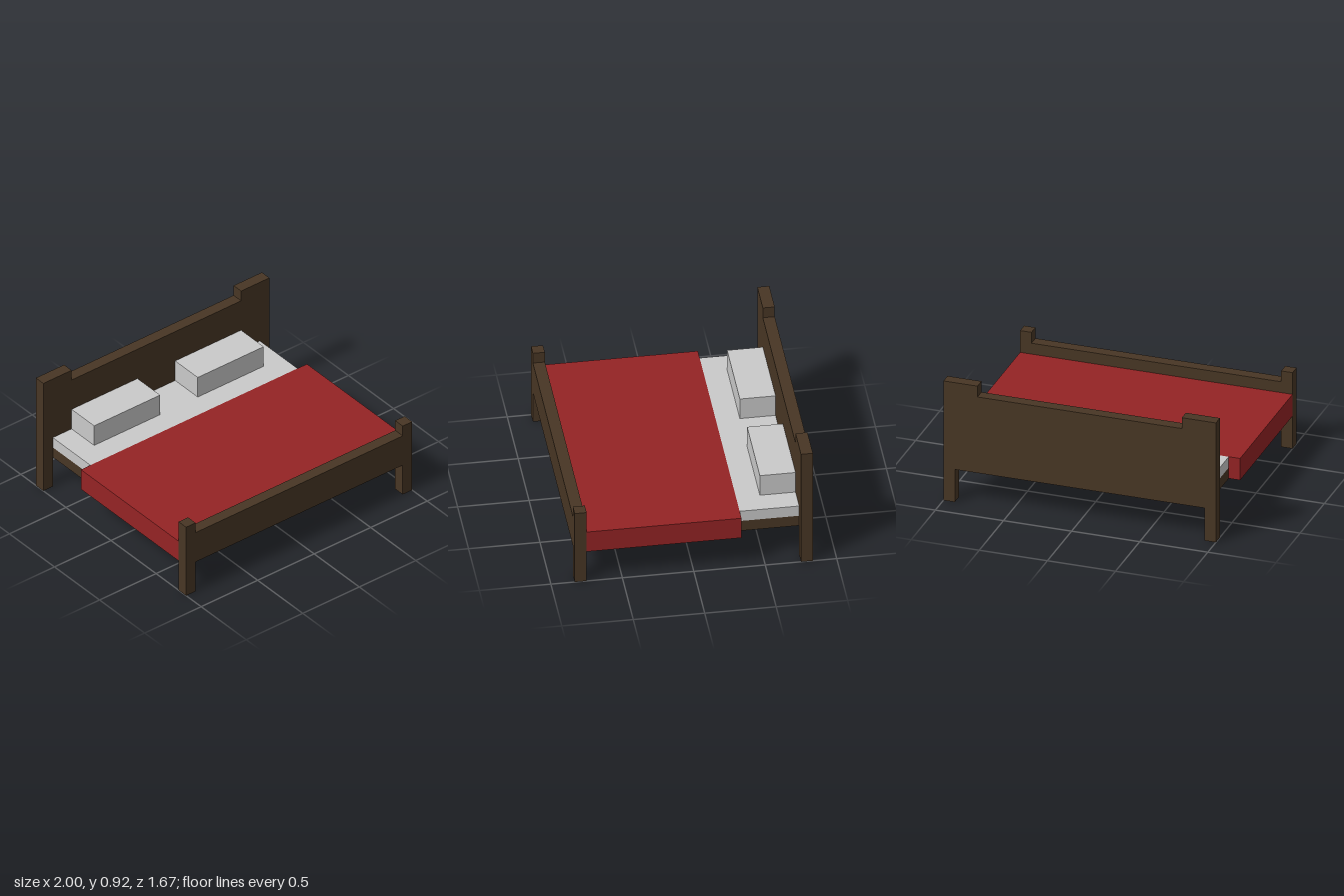
import * as THREE from 'three';

const U = 1 / 12; // the whole bed sits on a grid of twelfths

const wood = new THREE.MeshStandardMaterial({ name: 'dark wood', color: 0x483624 });
const red = new THREE.MeshStandardMaterial({ name: 'red blanket', color: 0x942324 });
const linen = new THREE.MeshStandardMaterial({ name: 'pale linen', color: 0xcacaca });

export function createModel() {
  const bed = new THREE.Group();
  bed.name = 'bed';

  const add = (name, geometry, material) => {
    const mesh = new THREE.Mesh(geometry, material);
    mesh.name = name;
    bed.add(mesh);
  };

  // Box given by its limits in grid units
  const box = (name, material, x0, x1, y0, y1, z0, z1) => {
    const g = new THREE.BoxGeometry((x1 - x0) * U, (y1 - y0) * U, (z1 - z0) * U);
    g.translate((x0 + x1) / 2 * U, (y0 + y1) / 2 * U, (z0 + z1) / 2 * U);
    add(name, g, material);
  };

  // Symmetric outline (right half, listed bottom to top) extruded along z
  const slab = (name, material, half, z0, z1) => {
    const mirrored = half.map(([x, y]) => [-x, y]).reverse();
    const shape = new THREE.Shape(
      [...half, ...mirrored].map(([x, y]) => new THREE.Vector2(x * U, y * U)));
    const g = new THREE.ExtrudeGeometry(shape, { depth: (z1 - z0) * U, bevelEnabled: false });
    g.translate(0, 0, z0 * U);
    add(name, g, material);
  };

  // End boards with their legs and raised corners
  slab('headboard', wood,
    [[11, 3], [11, 0], [12, 0], [12, 11], [9, 11], [9, 10]], -10, -9);
  slab('footboard', wood,
    [[11, 3], [11, 0], [12, 0], [12, 7], [11, 7], [11, 6]], 9, 10);

  // Frame
  box('centreRail', wood, -1, 1, 3, 4, -9, 9);
  for (const [side, s] of [['left', 1], ['right', -1]]) {
    box(side + 'Rail', wood, s * 10.5 - 0.5, s * 10.5 + 0.5, 3, 4, -9, 9);
    box(side + 'Pillow', linen, s * 5.5 - 3.5, s * 5.5 + 3.5, 5, 7, -9, -6);
  }

  // Bedding: the blanket hangs over both side rails
  box('mattress', linen, -11, 11, 4, 5, -9, -4);
  slab('blanket', red, [[11, 4], [11, 3], [12, 3], [12, 5]], -4, 9);

  return bed;
}
